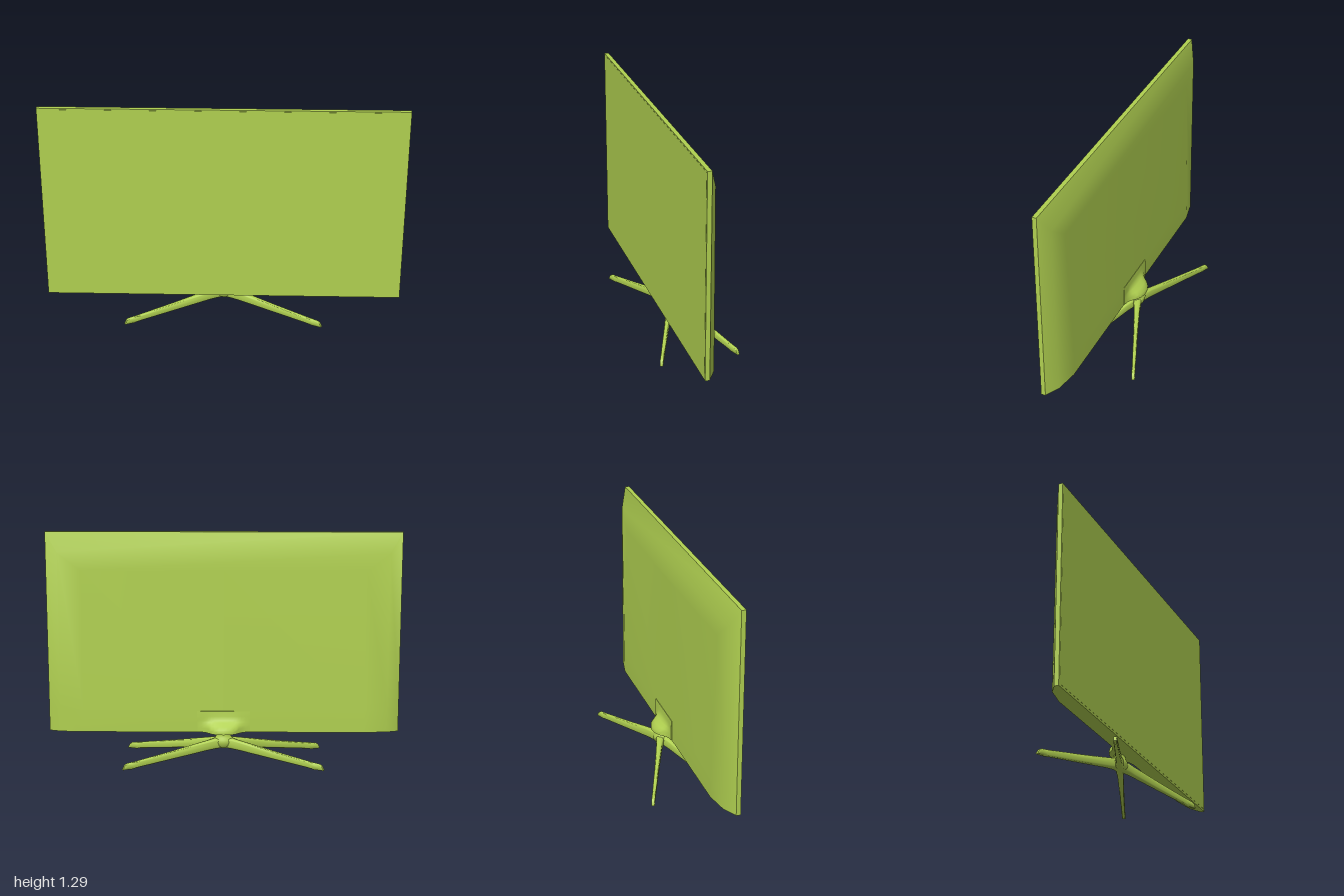
import * as THREE from 'three';
import { toCreasedNormals } from 'three/addons/utils/BufferGeometryUtils.js';

const material = new THREE.MeshStandardMaterial({ color: 0xb0d050, side: THREE.DoubleSide });

// Skin rows of [x, y, z] points; a crease angle of 0 keeps the whole sheet smooth
function skin(rows, crease = 0) {
  const n = rows[0].length;
  const index = [];
  for (let i = 0; i < rows.length - 1; i++) {
    for (let j = 0; j < n - 1; j++) {
      const a = i * n + j, d = a + n;
      index.push(a, a + 1, d + 1, a, d + 1, d);
    }
  }
  const geometry = new THREE.BufferGeometry();
  geometry.setAttribute('position', new THREE.Float32BufferAttribute(rows.flat(2), 3));
  geometry.setIndex(index);
  geometry.computeVertexNormals();
  return crease ? toCreasedNormals(geometry, crease) : geometry;
}

function add(parent, name, geometry) {
  const mesh = new THREE.Mesh(geometry, material);
  mesh.name = name;
  parent.add(mesh);
  return mesh;
}

// Rear shell: U-shaped rings stepping in from the panel edge, straight along the bottom
function addBackShell(parent) {
  const ring = (x, bottom, top, zTop, zLow) => [
    [-x, bottom, zLow], [-x, 0.28, zLow], [-x, top, zTop],
    [x, top, zTop], [x, 0.28, zLow], [x, bottom, zLow],
  ];
  const rings = [
    ring(1, 0.14, 1.29, 0.093, 0.093),
    ring(0.93, 0.147, 1.18, 0.051, 0.047),
    ring(0.8, 0.152, 1.08, 0.042, 0.02),
  ];
  add(parent, 'backShell', skin([...rings, ring(0, 0.152, 1.08, 0.042, 0.02)]));
  add(parent, 'backShellBottom', skin([rings.map(r => r[0]), rings.map(r => r[5])]));
}

// Stand cover: a thin plate swelling into a bell-shaped bulge around the neck
function addStandCover(parent) {
  const bell = [[0.15, 0], [0.125, 0.06], [0.1, 0.24], [0.085, 0.46], [0.07, 0.68],
    [0.05, 0.86], [0.025, 0.97], [0, 1]];
  const half = bell.map(([x, b]) => [-x, b]);
  const across = [...half, ...bell.slice(0, -1).reverse()];
  const row = (y, plate, depth) => [
    [-0.15, y, 0.035],
    ...across.map(([x, b]) => [x, y, plate - depth * b]),
    [0.15, y, 0.035],
  ];
  const rows = [
    row(0.275, 0.035, 0), row(0.275, 0.018, 0), row(0.245, 0.016, 0.001),
    row(0.222, 0.016, 0.006), row(0.212, 0.016, 0.018), row(0.195, 0.016, 0.044),
    row(0.177, 0.016, 0.066), row(0.17, 0.016, 0.068), row(0.154, 0.016, 0.068),
  ];
  rows.push(rows.at(-1).map(([x, y]) => [x, y, 0.035]));
  add(parent, 'standCover', skin(rows, 0.75));
}

// Leg running along +x: rounded sections of [reach, bottom, top, half width]
function legGeometry() {
  const sections = [
    [0, 0.07, 0.128, 0.024], [0.05, 0.068, 0.126, 0.022], [0.1, 0.062, 0.117, 0.017],
    [0.3, 0.035, 0.08, 0.013], [0.5, 0.009, 0.046, 0.0105], [0.53, 0.004, 0.041, 0.01],
    [0.545, 0, 0.039, 0.01], [0.575, 0, 0.035, 0.01], [0.588, 0, 0.028, 0.01],
    [0.6, 0, 0.004, 0.009],
  ];
  const soften = v => Math.sign(v) * Math.sqrt(Math.abs(v));
  const sides = 16;
  const rows = sections.map(([r, low, high, w]) => Array.from({ length: sides + 1 }, (_, k) => {
    const t = (k % sides) / sides * Math.PI * 2;
    return [r, (low + high) / 2 + soften(Math.cos(t)) * (high - low) / 2, soften(Math.sin(t)) * w];
  }));
  rows.push(rows.at(-1).map(() => [0.6, 0.002, 0]));
  return skin(rows, 0.8);
}

function addStand(parent) {
  const stand = new THREE.Group();
  stand.name = 'stand';
  parent.add(stand);

  // Flared neck, wider across than deep
  const profile = [[0, 0.07], [0.025, 0.071], [0.037, 0.085], [0.042, 0.105], [0.039, 0.12],
    [0.031, 0.132], [0.028, 0.145], [0.028, 0.165], [0, 0.165]];
  const neck = new THREE.LatheGeometry(profile.map(p => new THREE.Vector2(...p)), 32);
  add(stand, 'neck', neck).scale.x = 1.45;

  // Four splayed legs
  const geometry = legGeometry();
  const splay = Math.atan2(0.22, 0.56);
  const angles = {
    backLeftLeg: splay, frontLeftLeg: -splay,
    frontRightLeg: Math.PI + splay, backRightLeg: Math.PI - splay,
  };
  for (const [name, angle] of Object.entries(angles)) add(stand, name, geometry).rotation.y = angle;
}

export function createModel() {
  const model = new THREE.Group();
  model.name = 'television';

  // Slim frame with the screen set just inside its edge
  add(model, 'frame', new THREE.BoxGeometry(2, 1.15, 0.025)).position.set(0, 0.715, 0.1045);
  add(model, 'screen', new THREE.BoxGeometry(1.984, 1.13, 0.002)).position.set(0, 0.718, 0.117);

  addBackShell(model);
  addStandCover(model);
  addStand(model);
  return model;
}
